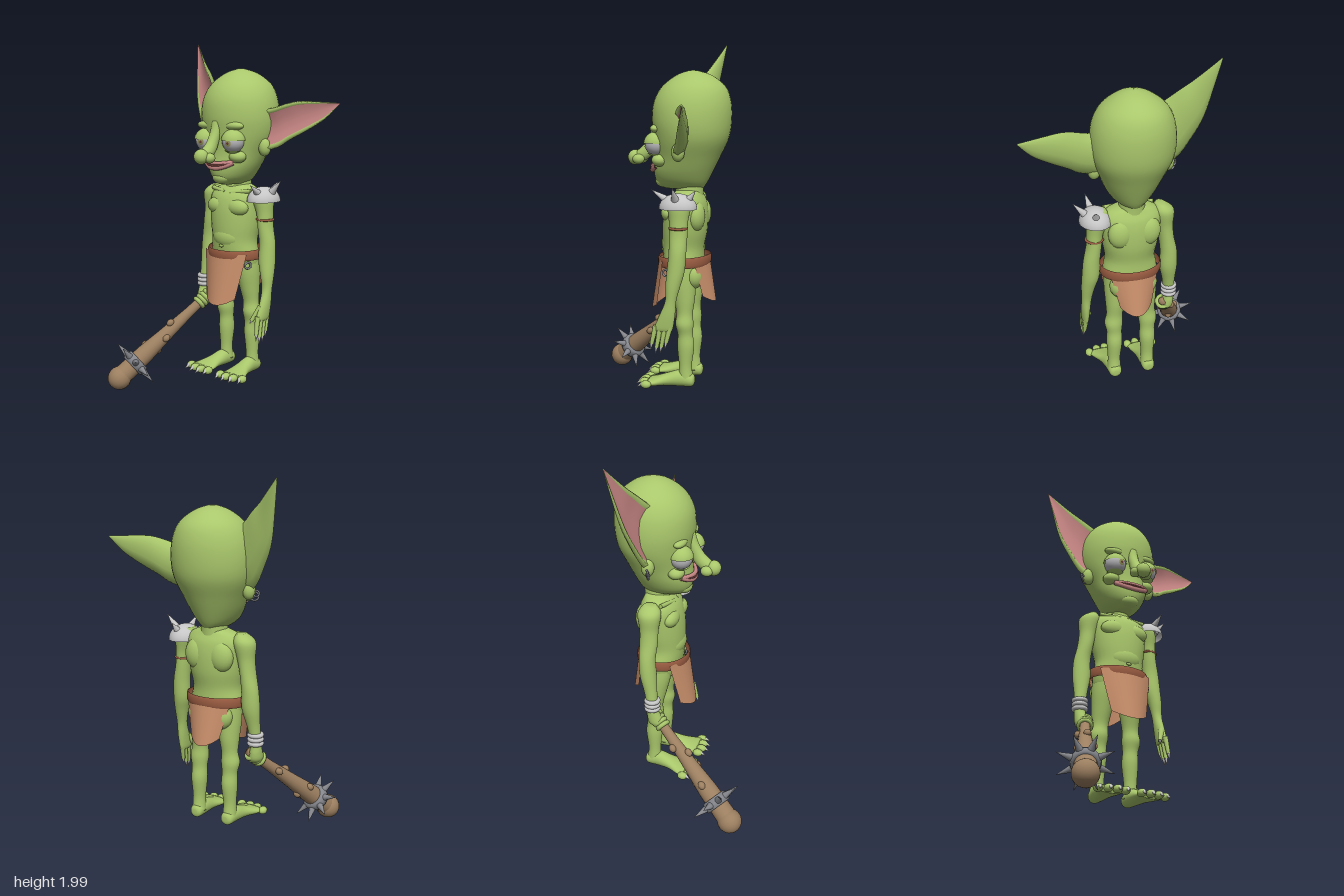
import * as THREE from 'three';

const CX = -0.033; // body centre line
const mat = (name, color, side = THREE.FrontSide) => {
  const m = new THREE.MeshStandardMaterial({ color, side });
  m.name = name;
  return m;
};
const V = (x, y, z) => new THREE.Vector3(x, y, z);

// Surface through rows of points
function grid(rows, closed) {
  const n = rows[0].length, pos = [], idx = [];
  rows.forEach(r => r.forEach(p => pos.push(p[0], p[1], p[2])));
  for (let i = 0; i < rows.length - 1; i++)
    for (let j = 0; j < (closed ? n : n - 1); j++) {
      const k = (j + 1) % n, a = i * n + j, b = i * n + k;
      idx.push(a, b, a + n, b, b + n, a + n);
    }
  const g = new THREE.BufferGeometry();
  g.setAttribute('position', new THREE.Float32BufferAttribute(pos, 3));
  g.setIndex(idx);
  g.computeVertexNormals();
  return g;
}

// Catmull-Rom smoothing of number rows
function smooth(rows, steps = 5) {
  const out = [], at = i => rows[Math.min(Math.max(i, 0), rows.length - 1)];
  for (let i = 0; i < rows.length - 1; i++)
    for (let s = 0; s < steps; s++) {
      const t = s / steps;
      out.push(at(i).map((b, k) => {
        const a = at(i - 1)[k], c = at(i + 1)[k], d = at(i + 2)[k];
        return b + 0.5 * t * (c - a + t * (2 * a - 5 * b + 4 * c - d + t * (3 * (b - c) + d - a)));
      }));
    }
  out.push(at(rows.length - 1));
  return out;
}

// Ellipse loft from [x, y, z, a, b]; rings level (rows go down) or upright (rows go forward)
function loft(rows, upright = false, n = 28) {
  const s = smooth(rows), e = s[s.length - 1];
  const all = [[...s[0].slice(0, 3), 0.0005, 0.0005], ...s, [...e.slice(0, 3), 0.0005, 0.0005]];
  return grid(all.map(([x, y, z, a, b]) => Array.from({ length: n }, (_, j) => {
    const t = j / n * Math.PI * 2, u = Math.cos(t) * Math.max(a, 0.0005), w = Math.sin(t) * Math.max(b, 0.0005);
    return upright ? [x + u, y + w, z] : [x + u, y, z + w];
  })), true);
}

export function createModel() {
  const root = new THREE.Group();
  root.name = 'goblin';
  const D = THREE.DoubleSide;
  const skin = mat('green skin', 0xa9c76b, D), pink = mat('pink skin', 0xc88785, D),
    eyeM = mat('eye grey', 0xb8b8bb), irisM = mat('iris olive', 0x96965a),
    leather = mat('tan leather', 0xc98f6b, D), belt = mat('dark leather', 0x9c5d42, D),
    wood = mat('wood', 0x9c7f60), iron = mat('iron', 0x85878d),
    silver = mat('pale metal', 0xc6c6c6, D), dark = mat('dark red', 0x6e3b36);

  const add = (name, geo, m, p = [0, 0, 0], parent = root) => {
    const o = new THREE.Mesh(geo, m);
    o.name = name;
    o.position.set(...p);
    parent.add(o);
    return o;
  };
  const blob = (name, p, r, m = skin, parent = root) => {
    const o = add(name, new THREE.SphereGeometry(1, 20, 14), m, p, parent);
    o.scale.set(...r);
    return o;
  };
  const rod = (name, a, b, r0, r1, m = skin, parent = root) => {
    const A = V(...a), d = V(...b).sub(A), l = d.length();
    const o = add(name, new THREE.CylinderGeometry(r1, r0, l, 12), m, [0, 0, 0], parent);
    o.position.copy(A).addScaledVector(d, 0.5);
    o.quaternion.setFromUnitVectors(V(0, 1, 0), d.normalize());
    return o;
  };

  // Head, neck and torso
  add('head', loft([[1.845, -.205, .02, .02], [1.82, -.21, .09, .095], [1.76, -.21, .168, .172],
    [1.68, -.203, .21, .21], [1.58, -.2, .224, .218], [1.48, -.198, .212, .205], [1.38, -.178, .172, .18],
    [1.3, -.155, .138, .165], [1.24, -.147, .1, .142], [1.205, -.155, .055, .11]]
    .map(([y, z, a, b]) => [CX, y, z, a, b]), false, 40), skin);
  add('neck', loft([[CX, 1.28, -.195, .07, .08], [CX, 1.2, -.19, .07, .078], [CX, 1.12, -.185, .09, .08]]), skin);
  add('torso', loft([[1.2, -.19, .07, .065], [1.175, -.182, .135, .082], [1.13, -.175, .17, .108],
    [1.06, -.17, .166, .122], [.97, -.165, .155, .124], [.88, -.158, .14, .115], [.8, -.162, .152, .11],
    [.72, -.17, .135, .1], [.67, -.175, .06, .06]].map(([y, z, a, b]) => [CX, y, z, a, b])), skin);
  blob('belly', [CX, .9, -.1], [.1, .075, .065]);
  blob('navel', [CX, .855, -.038], [.016, .009, .006]);

  for (const s of [-1, 1]) {
    const X = d => CX + s * d;
    blob('chest', [X(.07), 1.075, -.095], [.075, .05, .045]);
    blob('shoulderBlade', [X(.075), 1.06, -.245], [.07, .085, .05]);
    rod('collarbone', [X(.02), 1.155, -.095], [X(.14), 1.17, -.13], .012, .012);
    blob('buttock', [X(.065), .73, -.235], [.07, .075, .055]);

    // Legs and feet
    add('leg', loft([[.08, .8, -.17, .065, .085], [.085, .7, -.175, .065, .075], [.09, .6, -.185, .055, .06],
      [.095, .52, -.19, .046, .045], [.1, .46, -.19, .052, .05], [.098, .4, -.195, .043, .042],
      [.098, .33, -.198, .045, .047], [.1, .22, -.197, .036, .036], [.1, .14, -.2, .04, .044]]
      .map(r => [X(r[0]), ...r.slice(1)])), skin);
    add('foot', loft([[.1, .14, -.25, .015, .015], [.1, .14, -.235, .035, .036], [.102, .147, -.17, .042, .047],
      [.108, .137, -.1, .05, .036], [.116, .126, -.04, .07, .026], [.122, .121, .005, .084, .018]]
      .map(r => [X(r[0]), ...r.slice(1)]), true), skin);
    for (const [i, z] of [.022, .03, .025, .005].entries()) {
      const x = .047 + i * .05;
      blob('toe', [X(x), .122, z], [.024, .022, .03]);
      rod('toeClaw', [X(x), .126, z + .018], [X(x * 1.03), .108, z + .048], .012, .001, silver);
    }

    // Eyes with heavy lids
    const eye = new THREE.Group();
    eye.name = 'eye';
    eye.position.set(X(.1), 1.45, -.025);
    root.add(eye);
    add('eyeball', new THREE.SphereGeometry(.061, 24, 16), eyeM, [0, 0, 0], eye);
    add('upperLid', new THREE.SphereGeometry(.068, 24, 10, 0, Math.PI * 2, 0, Math.PI * .47), skin, [0, 0, 0], eye);
    add('lowerLid', new THREE.SphereGeometry(.067, 24, 8, 0, Math.PI * 2, Math.PI * .76, Math.PI * .24), skin, [0, 0, 0], eye);
    [[.0625, .3, irisM, 'iris'], [.064, .12, dark, 'pupil']].forEach(([r, t, m, n]) => {
      const o = add(n, new THREE.SphereGeometry(r, 16, 4, 0, Math.PI * 2, 0, t), m, [0, 0, 0], eye);
      o.rotation.set(Math.PI / 2 + .12, 0, -.2);
    });
    blob('brow', [X(.095), 1.535, -.03], [.07, .025, .035]);
    blob('cheek', [X(.11), 1.365, -.05], [.05, .035, .045]);
    blob('nostril', [X(.035), 1.362, .095], [.03, .028, .034]);
    blob('earLobe', [X(.2), 1.415, -.175], [.035, .05, .035]);
  }

  // Nose, chin and mouth
  add('noseBridge', loft([[CX, 1.56, -.0, .025, .02], [CX, 1.5, .01, .03, .028], [CX, 1.44, .035, .03, .04],
    [CX, 1.39, .075, .034, .055], [CX, 1.355, .1, .028, .04]]), skin);
  blob('noseTip', [CX, 1.37, .125], [.042, .042, .04]);
  blob('chin', [CX, 1.245, -.04], [.055, .038, .045]);
  const lip = (name, y0, bend, r, m, out) => {
    const pts = [-.1, -.07, -.035, 0, .035, .07, .1].map(x =>
      V(CX + x, y0 + bend * x * x, -.155 + (.165 + out) * Math.sqrt(1 - (x / .15) ** 2)));
    add(name, new THREE.TubeGeometry(new THREE.CatmullRomCurve3(pts), 24, r, 8), m);
  };
  lip('upperLip', 1.327, .9, .012, pink, .008);
  lip('lowerLip', 1.301, 3.2, .014, pink, .008);
  lip('mouthLine', 1.315, 2, .006, dark, .016);

  // Ears: rows are [topX, topY, bottomX, bottomY, z, thickness]
  const shell = [[.76, .1], [.9, .4], [1, 0], [.75, -.6], [.3, -.95], [-.3, -.95], [-.75, -.6], [-1, 0], [-.9, .4], [-.76, .1]];
  const inner = [[-.76, .1], [-.4, -.25], [0, -.35], [.4, -.25], [.76, .1]];
  const ear = (name, rows) => {
    const fine = smooth(rows, 4);
    const skinOf = sec => grid(fine.map(([tx, ty, bx, by, z, k]) => sec.map(([u, w]) =>
      [(tx + bx) / 2 + u * (tx - bx) / 2, (ty + by) / 2 + u * (ty - by) / 2, z + w * k])), false);
    add(name, skinOf(shell), skin);
    add(name + 'Inner', skinOf(inner), pink);
  };
  ear('rightEar', [[-.15, 1.72, -.16, 1.4, -.17, .05], [-.21, 1.765, -.27, 1.43, -.185, .055],
    [-.27, 1.82, -.35, 1.56, -.215, .045], [-.33, 1.87, -.4, 1.68, -.24, .032],
    [-.4, 1.94, -.435, 1.86, -.275, .016], [-.453, 1.995, -.457, 1.99, -.3, .004]]);
  ear('leftEar', [[.1, 1.62, .1, 1.38, -.17, .05], [.2, 1.63, .24, 1.415, -.19, .055],
    [.28, 1.655, .31, 1.46, -.215, .045], [.35, 1.67, .4, 1.51, -.24, .032],
    [.46, 1.668, .5, 1.575, -.27, .016], [.575, 1.662, .575, 1.655, -.298, .004]]);
  for (const [x, y, r] of [[-.262, 1.385, .022], [-.272, 1.4, .016]])
    add('earring', new THREE.TorusGeometry(r, .005, 8, 20), iron, [x, y, -.165]).rotation.y = .6;

  // Arms
  add('rightArm', loft([[-.195, 1.185, -.18, .025, .035], [-.212, 1.14, -.18, .06, .064], [-.223, 1.05, -.18, .047, .052],
    [-.235, .97, -.18, .043, .05], [-.25, .88, -.185, .047, .046], [-.253, .78, -.18, .05, .046],
    [-.262, .68, -.165, .036, .036], [-.27, .58, -.152, .03, .03], [-.267, .53, -.145, .034, .04],
    [-.26, .49, -.135, .038, .045], [-.255, .465, -.125, .025, .03]]), skin);
  add('leftArm', loft([[.13, 1.185, -.18, .025, .035], [.15, 1.14, -.18, .06, .064], [.168, 1.05, -.18, .045, .052],
    [.175, .97, -.18, .042, .05], [.188, .88, -.18, .046, .047], [.193, .78, -.172, .048, .048],
    [.205, .7, -.16, .038, .04], [.212, .62, -.15, .028, .03], [.215, .54, -.132, .025, .043],
    [.215, .47, -.112, .02, .052], [.215, .45, -.108, .012, .045]]), skin);
  for (let i = 0; i < 4; i++) {
    const z = -.148 + i * .027, y = [.375, .35, .345, .365][i];
    rod('finger', [.215, .48, z], [.222, y + .015, z + .02], .015, .011);
    rod('fingerClaw', [.222, y + .02, z + .02], [.225, y - .02, z + .026], .01, .001, silver);
  }
  rod('thumb', [.21, .53, -.1], [.175, .45, -.06], .018, .011);
  rod('thumbClaw', [.177, .455, -.062], [.17, .435, -.052], .009, .001, silver);
  const band = (name, m, p, r, t) => { add(name, new THREE.TorusGeometry(r, t, 10, 28), m, p).rotation.x = Math.PI / 2; };
  band('armBand', belt, [.172, 1.012, -.18], .046, .007);
  for (let i = 0; i < 3; i++) band('bracelet', silver, [-.269, .583 + i * .024, -.155], .033, .013);

  // Spiked shoulder pad
  const pad = new THREE.Group();
  pad.name = 'shoulderPad';
  pad.position.set(.163, 1.115, -.175);
  root.add(pad);
  const dome = add('padDome', new THREE.SphereGeometry(1, 28, 10, 0, Math.PI * 2, 0, Math.PI / 2), silver, [0, 0, 0], pad);
  dome.scale.set(.088, .082, .104);
  rod('padSpike', [.045, .04, 0], [.12, .122, 0], .026, .001, silver, pad);
  rod('padSpike', [.01, .045, .055], [.02, .1, .14], .024, .001, silver, pad);
  rod('padSpike', [.01, .045, -.055], [.02, .1, -.1], .024, .001, silver, pad);

  // Loincloth
  add('belt', grid([[.838, .168, .142], [.825, .174, .148], [.795, .174, .147], [.78, .168, .141]].map(([y, a, b]) =>
    Array.from({ length: 40 }, (_, j) => {
      const t = j / 20 * Math.PI;
      return [CX + a * Math.cos(t), y - .006 * Math.sin(t), -.165 + b * Math.sin(t)];
    })), true), belt);
  const flap = (name, w0, w1, y1, z0, z1, dir) => add(name, grid(Array.from({ length: 9 }, (_, i) =>
    Array.from({ length: 13 }, (_, j) => {
      const v = i / 8, u = j / 6 - 1, end = y1 + .04 * u * u;
      return [CX + u * (w0 + (w1 - w0) * v), .815 + (end - .815) * v, z0 + (z1 - z0) * v - dir * .055 * u * u];
    })), false), leather);
  flap('frontFlap', .155, .108, .52, -.024, .022, 1);
  flap('backFlap', .135, .09, .58, -.306, -.345, -1);
  add('hipRing', new THREE.TorusGeometry(.018, .006, 8, 20), iron, [.118, .752, -.095]).rotation.y = 1.2;

  // Club, built along its own length
  const A = V(-.243, .51, -.14), dir = V(-.473, .072, .357).sub(A), L = dir.length();
  const club = new THREE.Group();
  club.name = 'club';
  club.position.copy(A);
  club.quaternion.setFromUnitVectors(V(0, 1, 0), dir.normalize());
  root.add(club);
  add('clubShaft', new THREE.LatheGeometry([[0, -.04], [.022, -.035], [.026, -.01], [.03, .15], [.042, .35],
    [.054, .5], [.058, L]].map(p => new THREE.Vector2(...p)), 24), wood, [0, 0, 0], club);
  blob('clubHead', [0, L, 0], [.068, .068, .068], wood, club);
  for (const [y, t] of [[.2, 3.6], [.27, 5.4], [.35, .5], [.43, 2.2], [.46, 4.2]])
    blob('clubKnot', [Math.cos(t) * (.028 + y * .04), y, Math.sin(t) * (.028 + y * .04)], [.02, .024, .02], wood, club);
  add('clubRing', new THREE.LatheGeometry([[.05, -.028], [.07, -.028], [.077, 0], [.07, .028], [.05, .028]]
    .map(p => new THREE.Vector2(...p)), 24), iron, [0, L - .125, 0], club);
  for (let i = 0; i < 8; i++) {
    const t = i / 4 * Math.PI, c = Math.cos(t), s = Math.sin(t), y = L - .125;
    rod('clubSpike', [c * .06, y, s * .06], [c * .15, y, s * .15], .022, .001, iron, club);
  }
  for (let i = 0; i < 4; i++)
    add('grippingFinger', new THREE.TorusGeometry(.032, .013, 8, 20), skin, [0, -.012 + i * .024, 0], club).rotation.x = Math.PI / 2;

  return root;
}
